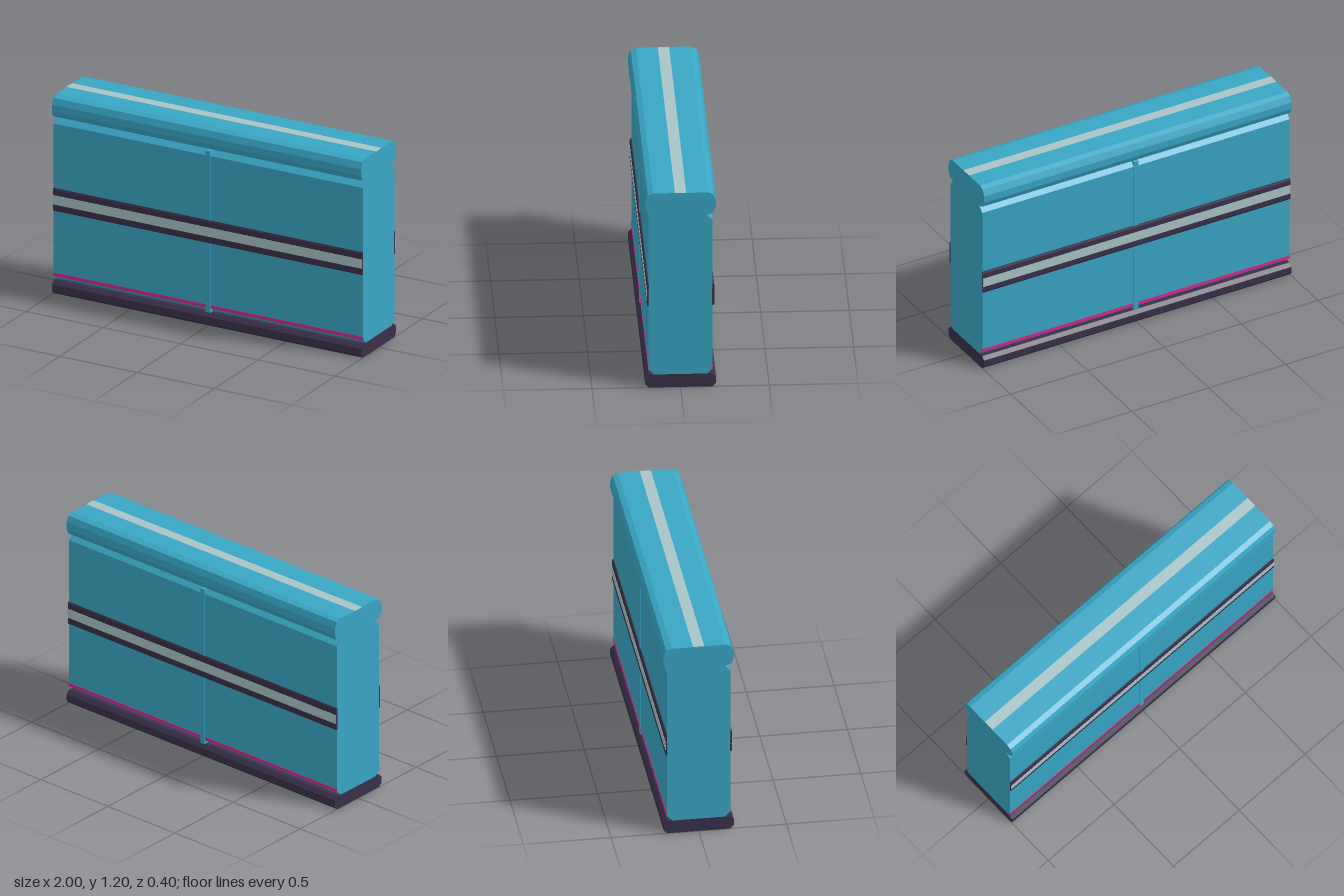
import * as THREE from 'three';

const paint = (name, color) => {
  const m = new THREE.MeshStandardMaterial({ color });
  m.name = name;
  return m;
};

export function createModel() {
  const teal = paint('teal', 0x38a6c3);
  const dark = paint('darkPlum', 0x392f49);
  const pale = paint('paleGrey', 0xa9c4c6);
  const pink = paint('magenta', 0xd02a8c);
  const wall = new THREE.Group();
  wall.name = 'barrierWall';

  // Sweeps a (z, y) profile along x, centred on x = 0
  function sweep(name, points, length, material) {
    const shape = new THREE.Shape(points.map(([z, y]) => new THREE.Vector2(z, y)));
    const geo = new THREE.ExtrudeGeometry(shape, { depth: length, bevelEnabled: false });
    geo.translate(0, 0, -length / 2);
    geo.rotateY(-Math.PI / 2);
    const mesh = new THREE.Mesh(geo, material);
    mesh.name = name;
    wall.add(mesh);
  }
  // Completes a half profile, listed bottom to top, by mirroring it in z
  const mirrored = (half) => [...half, ...half.map(([z, y]) => [-z, y]).reverse()];

  function plate(name, w, h, d, y, z, material) {
    const mesh = new THREE.Mesh(new THREE.BoxGeometry(w, h, d), material);
    mesh.name = name;
    mesh.position.set(0, y, z);
    wall.add(mesh);
  }

  // Plinth, panel core and rounded coping
  sweep('base', mirrored([[0.18, 0], [0.2, 0.02], [0.2, 0.06], [0.18, 0.08]]), 2, dark);
  sweep('panelCore', mirrored([[0.15, 0.08], [0.18, 0.11], [0.18, 1.03], [0.15, 1.06]]), 2, teal);
  sweep('coping', mirrored([
    [0.15, 1.06], [0.185, 1.075], [0.2, 1.108], [0.2, 1.15], [0.185, 1.187], [0.155, 1.199],
  ]), 2, teal);
  plate('copingStripe', 2, 0.004, 0.064, 1.198, 0, pale);

  // Square joint rib, standing slightly proud of both panel faces
  plate('jointRib', 0.03, 0.98, 0.37, 0.57, 0, teal);

  // Trim on the front and back faces
  for (const [side, s] of [['front', 1], ['back', -1]]) {
    const band = [[0.178, 0.503], [0.186, 0.503], [0.19, 0.513], [0.19, 0.63], [0.186, 0.64], [0.178, 0.64]];
    sweep(side + 'Band', band.map(([z, y]) => [z * s, y]), 2, dark);
    plate(side + 'BandStripe', 2, 0.056, 0.004, 0.571, s * 0.1895, pale);
    plate(side + 'FootStripe', 2, 0.02, 0.004, 0.116, s * 0.1805, pink);
  }
  return wall;
}
